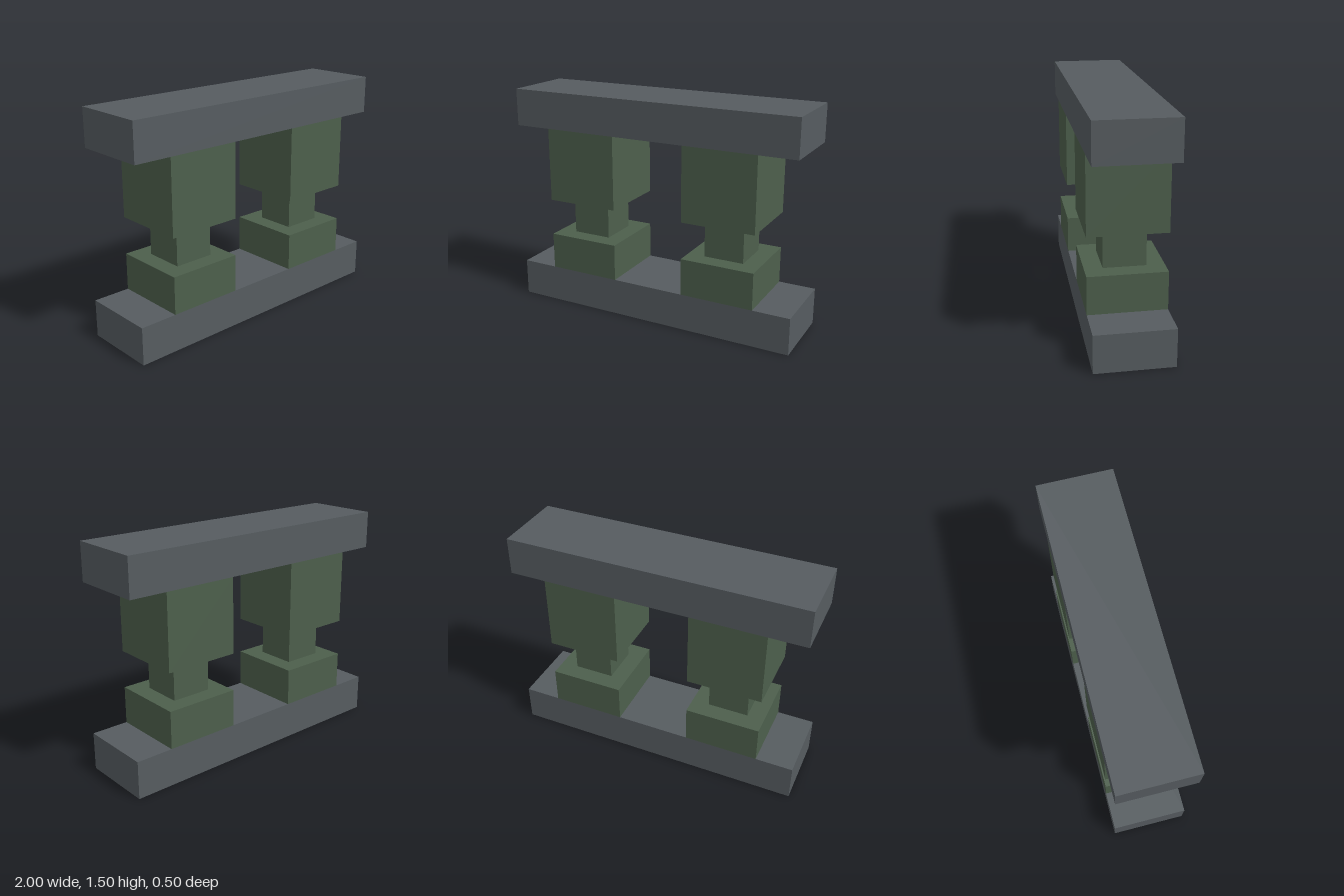
import * as THREE from 'three';

export function createModel() {
  const model = new THREE.Group();
  model.name = 'balustrade';

  const slate = new THREE.MeshStandardMaterial({ color: 0x565c60 });
  slate.name = 'slate grey';
  const green = new THREE.MeshStandardMaterial({ color: 0x4d5f4c });
  green.name = 'moss green';

  // Box standing between heights y0 and y1
  function block(parent, name, material, width, depth, y0, y1) {
    const mesh = new THREE.Mesh(new THREE.BoxGeometry(width, y1 - y0, depth), material);
    mesh.name = name;
    mesh.position.y = (y0 + y1) / 2;
    parent.add(mesh);
  }

  // Rails
  block(model, 'bottomRail', slate, 2, 0.5, 0, 0.25);
  block(model, 'topRail', slate, 2, 0.5, 1.25, 1.5);

  // Posts: base, narrow neck and tall upper block
  for (const [name, x] of [['rightPost', -0.5], ['leftPost', 0.5]]) {
    const post = new THREE.Group();
    post.name = name;
    post.position.x = x;
    block(post, 'postBase', green, 0.5, 0.5, 0.25, 0.5);
    block(post, 'postNeck', green, 0.27, 0.27, 0.5, 0.75);
    block(post, 'postHead', green, 0.5, 0.5, 0.75, 1.25);
    model.add(post);
  }

  return model;
}
